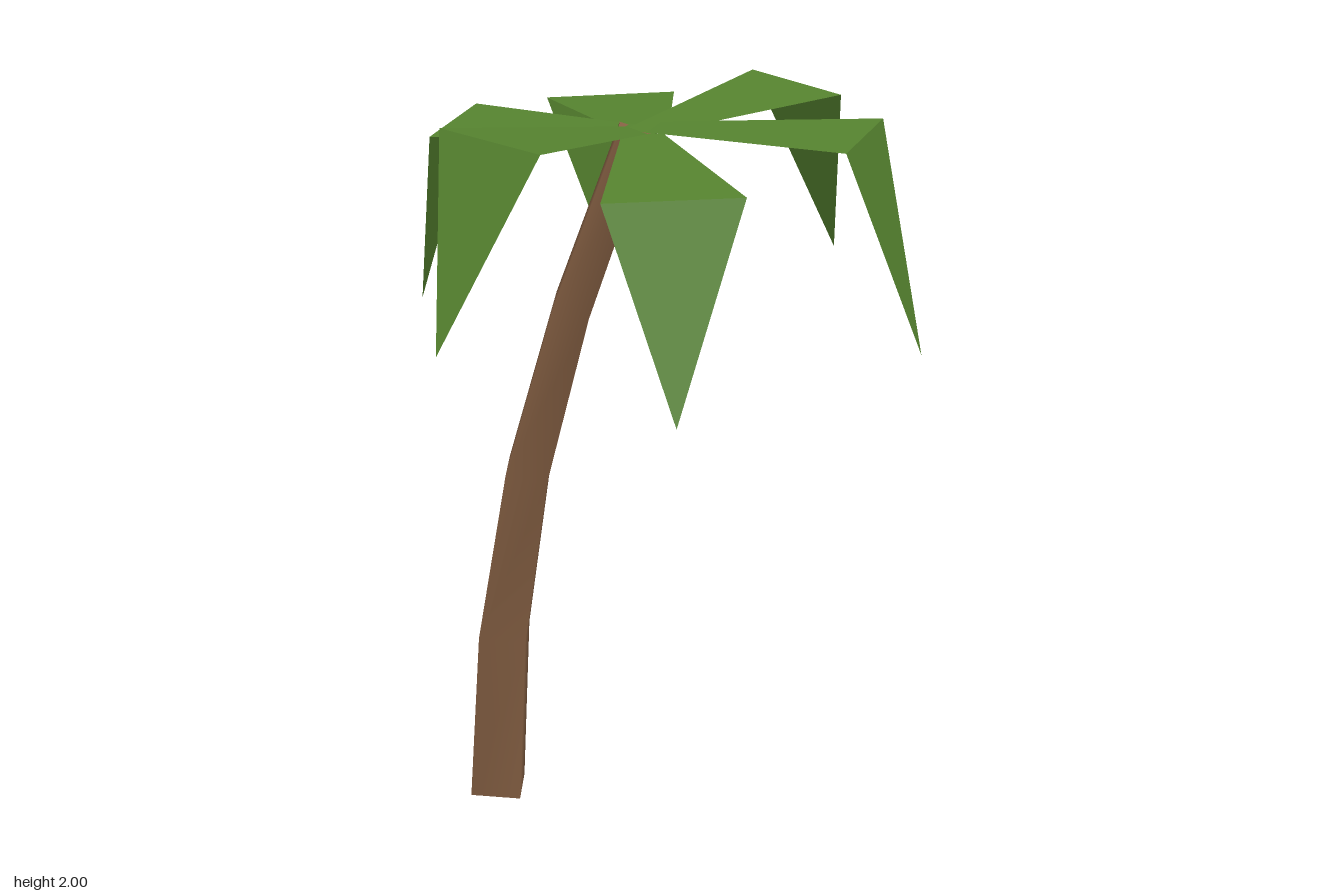
import * as THREE from 'three';

export function createModel() {
  const bark = new THREE.MeshStandardMaterial({ color: 0x876144 });
  bark.name = 'bark brown';
  const green = new THREE.MeshStandardMaterial({ color: 0x578530, flatShading: true, side: THREE.DoubleSide });
  green.name = 'leaf green';

  const palm = new THREE.Group();
  palm.name = 'palmTree';

  // Trunk: a four-sided cylinder bent through these rings [x, y, z, radius]
  const rings = [
    [-0.485, 0.008, 0.125, 0.095],
    [-0.457, 0.49, 0.112, 0.088],
    [-0.375, 0.975, 0.085, 0.077],
    [-0.242, 1.45, 0.04, 0.066],
    [-0.07, 1.915, -0.015, 0.058],
  ];
  const centers = rings.map(([x, y, z]) => new THREE.Vector3(x, y, z));
  const up = new THREE.Vector3(0, 1, 0);
  const tilts = rings.map((_, i) => {
    const dir = centers[Math.min(i + 1, 4)].clone().sub(centers[Math.max(i - 1, 0)]).normalize();
    return new THREE.Quaternion().setFromUnitVectors(up, dir);
  });
  const trunkGeo = new THREE.CylinderGeometry(1, 1, 4, 4, 4);
  const pos = trunkGeo.attributes.position;
  const nor = trunkGeo.attributes.normal;
  const v = new THREE.Vector3();
  for (let i = 0; i < pos.count; i++) {
    const k = Math.round(pos.getY(i) + 2);
    v.set(pos.getX(i), 0, pos.getZ(i)).multiplyScalar(rings[k][3]);
    v.applyQuaternion(tilts[k]).add(centers[k]);
    pos.setXYZ(i, v.x, v.y, v.z);
    v.fromBufferAttribute(nor, i).applyQuaternion(tilts[k]);
    nor.setXYZ(i, v.x, v.y, v.z);
  }
  const trunk = new THREE.Mesh(trunkGeo, bark);
  trunk.name = 'trunk';
  palm.add(trunk);

  // Leaf: a widening blade (inner a, inner b, outer b, outer a) and a drooping tip
  const addLeaf = (name, a, b, outerB, outerA, tip) => {
    const geo = new THREE.BufferGeometry();
    geo.setAttribute('position', new THREE.Float32BufferAttribute([a, b, outerB, outerA, tip].flat(), 3));
    geo.setIndex([0, 1, 2, 0, 2, 3, 3, 2, 4]);
    const flat = geo.toNonIndexed();
    flat.computeVertexNormals();
    const leaf = new THREE.Mesh(flat, green);
    leaf.name = name;
    palm.add(leaf);
  };

  // Corners run counter-clockwise as seen from above
  addLeaf('frontLeaf', [-0.08, 1.935, 0], [0.005, 1.935, 0.01],
    [0.15, 2.0, 0.465], [-0.18, 2.0, 0.49], [0, 1.53, 0.66]);
  addLeaf('frontLeftLeaf', [-0.06, 1.925, 0.035], [0, 1.925, -0.045],
    [0.475, 1.908, 0.14], [0.29, 1.908, 0.412], [0.458, 1.4, 0.335]);
  addLeaf('backLeftLeaf', [0, 1.938, 0.01], [-0.05, 1.938, -0.085],
    [0.36, 1.965, -0.425], [0.515, 1.965, -0.135], [0.575, 1.44, -0.355]);
  addLeaf('backLeaf', [0, 1.93, -0.01], [-0.08, 1.93, 0],
    [-0.185, 1.968, -0.525], [0.145, 1.968, -0.505], [-0.01, 1.51, -0.66]);
  addLeaf('backRightLeaf', [-0.03, 1.925, -0.09], [-0.09, 1.925, 0.015],
    [-0.525, 1.9, -0.125], [-0.35, 1.9, -0.405], [-0.49, 1.44, -0.3]);
  addLeaf('frontRightLeaf', [-0.1, 1.928, -0.045], [-0.045, 1.928, 0.045],
    [-0.375, 1.918, 0.37], [-0.545, 1.918, 0.09], [-0.545, 1.45, 0.28]);

  return palm;
}
